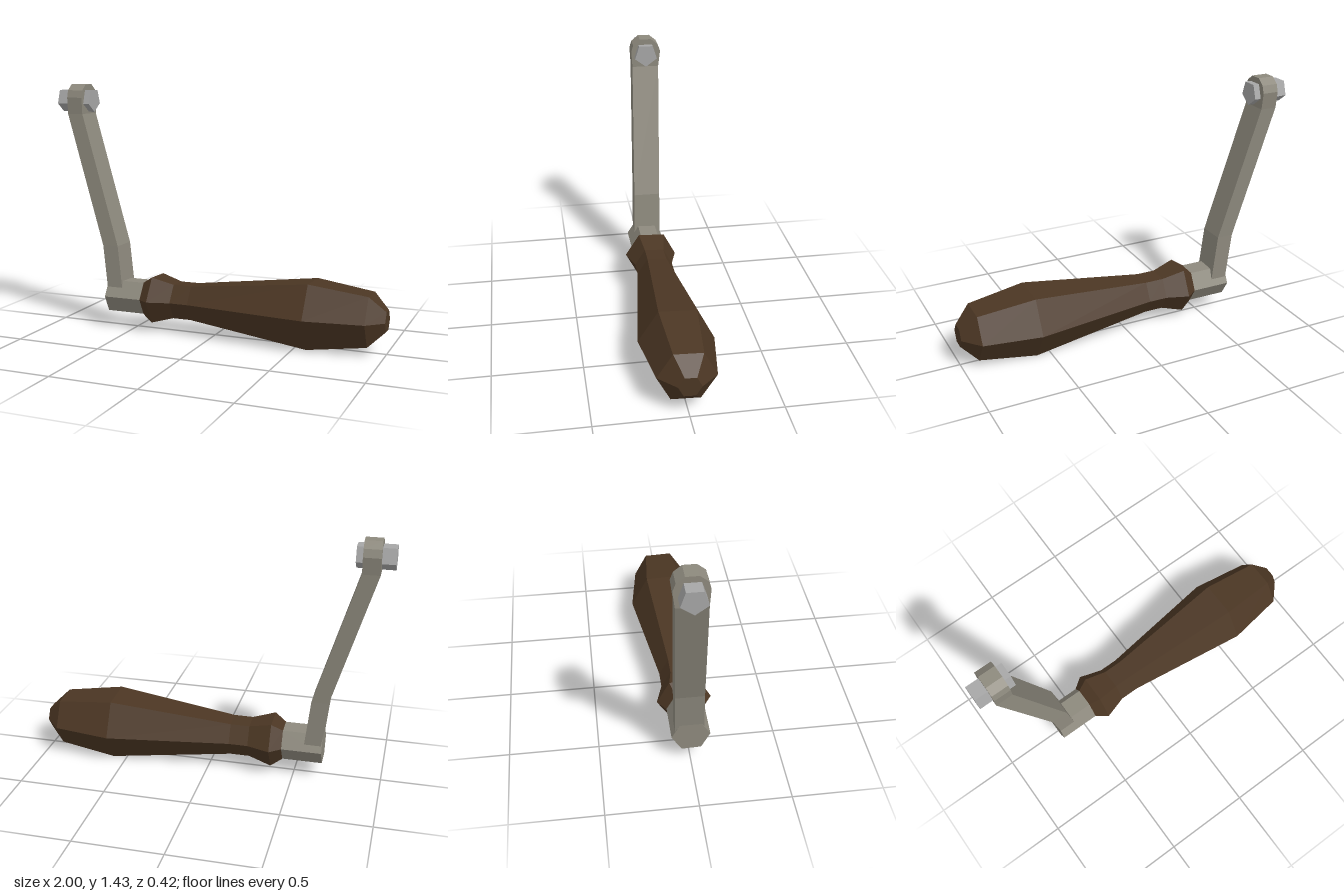
import * as THREE from 'three';

const mat = (name, color) => {
  const m = new THREE.MeshStandardMaterial({ color, flatShading: true });
  m.name = name;
  return m;
};

// Turns a y-axis solid so it lies along +x, rolled about that axis
const layAlongX = (geo, roll) => geo.rotateZ(-Math.PI / 2).rotateX(roll);

// Four-sided bar lofted through levels of [y, left x, front z, back z]
function loftBar(levels, thickness) {
  const rings = levels.map(([y, x, zf, zb]) => [
    [x, y, zf], [x + thickness, y, zf], [x + thickness, y, zb], [x, y, zb],
  ]);
  const pos = [];
  const quad = (a, b, c, d) => pos.push(...a, ...b, ...c, ...a, ...c, ...d);
  for (let k = 0; k < rings.length - 1; k++) {
    const lo = rings[k], hi = rings[k + 1];
    for (let i = 0; i < 4; i++) {
      const j = (i + 1) % 4;
      quad(lo[i], lo[j], hi[j], hi[i]);
    }
  }
  quad(...rings[rings.length - 1]);
  quad(...rings[0].slice().reverse());
  const geo = new THREE.BufferGeometry();
  geo.setAttribute('position', new THREE.Float32BufferAttribute(pos, 3));
  geo.computeVertexNormals();
  return geo;
}

export function createModel() {
  const group = new THREE.Group();
  group.name = 'handCrank';
  const wood = mat('dark wood', 0x4b3623);
  const iron = mat('grey iron', 0x8d897d);
  const steel = mat('light steel', 0xa6a6a6);

  const add = (name, geo, material, x = 0, y = 0, z = 0) => {
    const mesh = new THREE.Mesh(geo, material);
    mesh.name = name;
    mesh.position.set(x, y, z);
    group.add(mesh);
  };

  const axisY = 0.19, roll = -0.04;

  // Six-sided turned grip: [radius, x]
  const profile = [
    [0, -0.435], [0.108, -0.435], [0.155, -0.37], [0.114, -0.24], [0.114, -0.13],
    [0.21, 0.58], [0.16, 0.91], [0.063, 1], [0, 1],
  ].map(([r, x]) => new THREE.Vector2(r, x));
  add('grip', layAlongX(new THREE.LatheGeometry(profile, 6), roll), wood, 0, axisY);

  // Hexagonal hub joining grip and arm
  add('hub', layAlongX(new THREE.CylinderGeometry(0.107, 0.107, 0.235, 6), roll), iron, -0.5465, axisY);

  // Bent arm with a rounded head
  add('arm', loftBar([
    [0.2, -0.656, 0.074, -0.087],
    [0.495, -0.69, 0.068, -0.091],
    [1.265, -0.925, 0.04, -0.121],
    [1.36, -0.925, 0.046, -0.133],
    [1.403, -0.925, 0.034, -0.118],
    [1.437, -0.925, -0.008, -0.076],
  ], 0.096), iron);

  // Five-sided pin through the arm head
  add('pin', layAlongX(new THREE.CylinderGeometry(0.071, 0.071, 0.208, 5), Math.PI / 2),
    steel, -0.896, 1.346, -0.04);

  return group;
}
